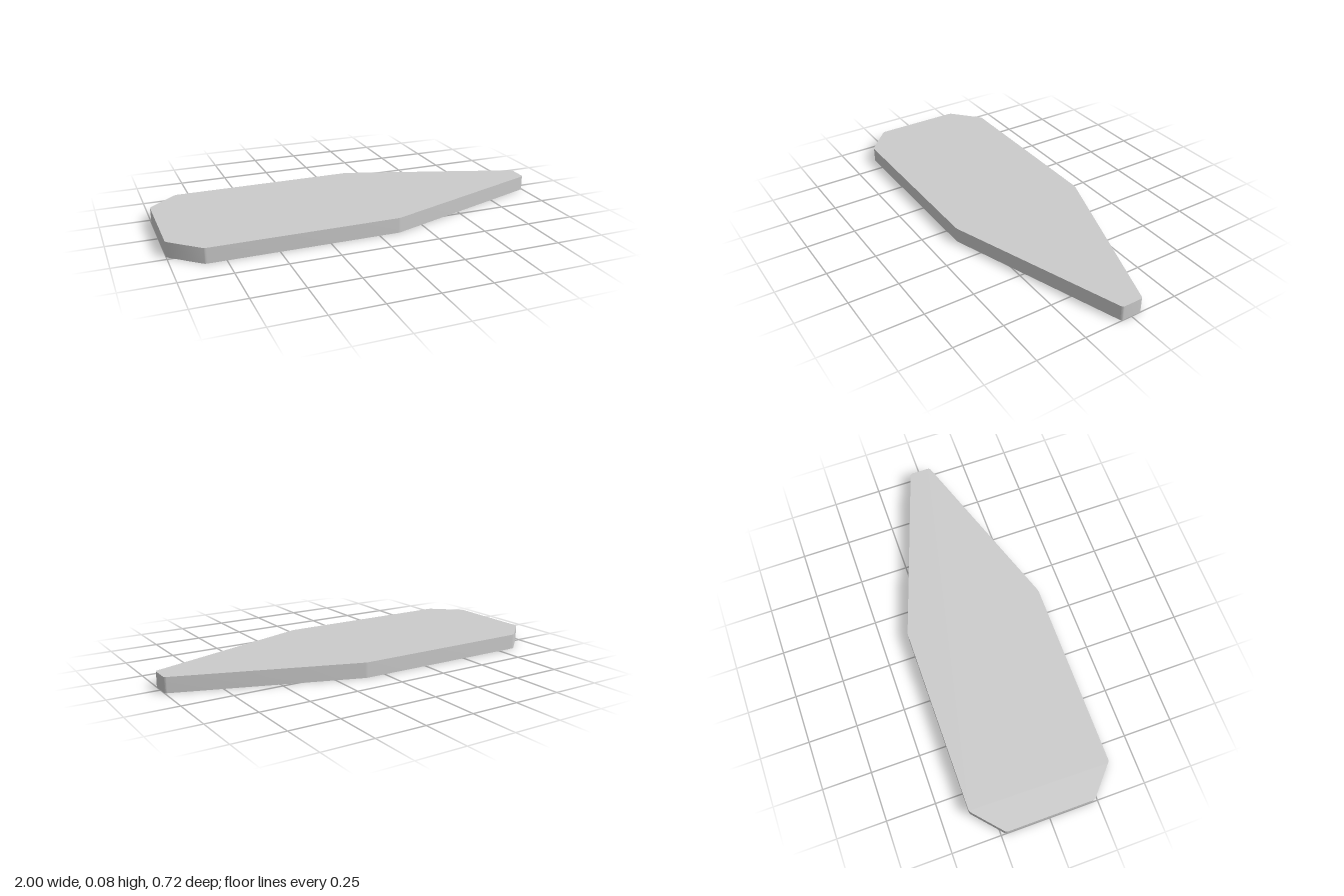
import * as THREE from 'three';
import { toCreasedNormals } from 'three/addons/utils/BufferGeometryUtils.js';

const THICKNESS = 0.077;
const CORNER = 0.012; // length trimmed off each side of a corner

// Closed outline with each corner softened by a small curve
function softOutline(points, trim) {
  const shape = new THREE.Shape();
  const n = points.length;
  points.forEach((p, i) => {
    const toward = (q) => p.clone().add(q.clone().sub(p).setLength(trim));
    const start = toward(points[(i + n - 1) % n]);
    const end = toward(points[(i + 1) % n]);
    if (i === 0) shape.moveTo(start.x, start.y);
    else shape.lineTo(start.x, start.y);
    shape.quadraticCurveTo(p.x, p.y, end.x, end.y);
  });
  shape.closePath();
  return shape;
}

export function createModel() {
  const group = new THREE.Group();
  group.name = 'taperedPlate';

  // Half outline, from the narrow tip to the chamfered end, then mirrored
  const half = [[1, 0.055], [0.105, 0.361], [-0.85, 0.361], [-1, 0.226]]
    .map(([x, z]) => new THREE.Vector2(x, z));
  const mirrored = half.map((p) => new THREE.Vector2(p.x, -p.y)).reverse();

  // Flat plate, laid down so that its thickness runs up y
  const geometry = new THREE.ExtrudeGeometry(softOutline([...half, ...mirrored], CORNER), {
    depth: THICKNESS,
    bevelEnabled: false,
    curveSegments: 5,
  });
  geometry.rotateX(-Math.PI / 2);

  const plate = new THREE.Mesh(
    toCreasedNormals(geometry, 0.5),
    new THREE.MeshStandardMaterial({ color: 0xcccccc }),
  );
  plate.name = 'plate';
  group.add(plate);
  return group;
}
